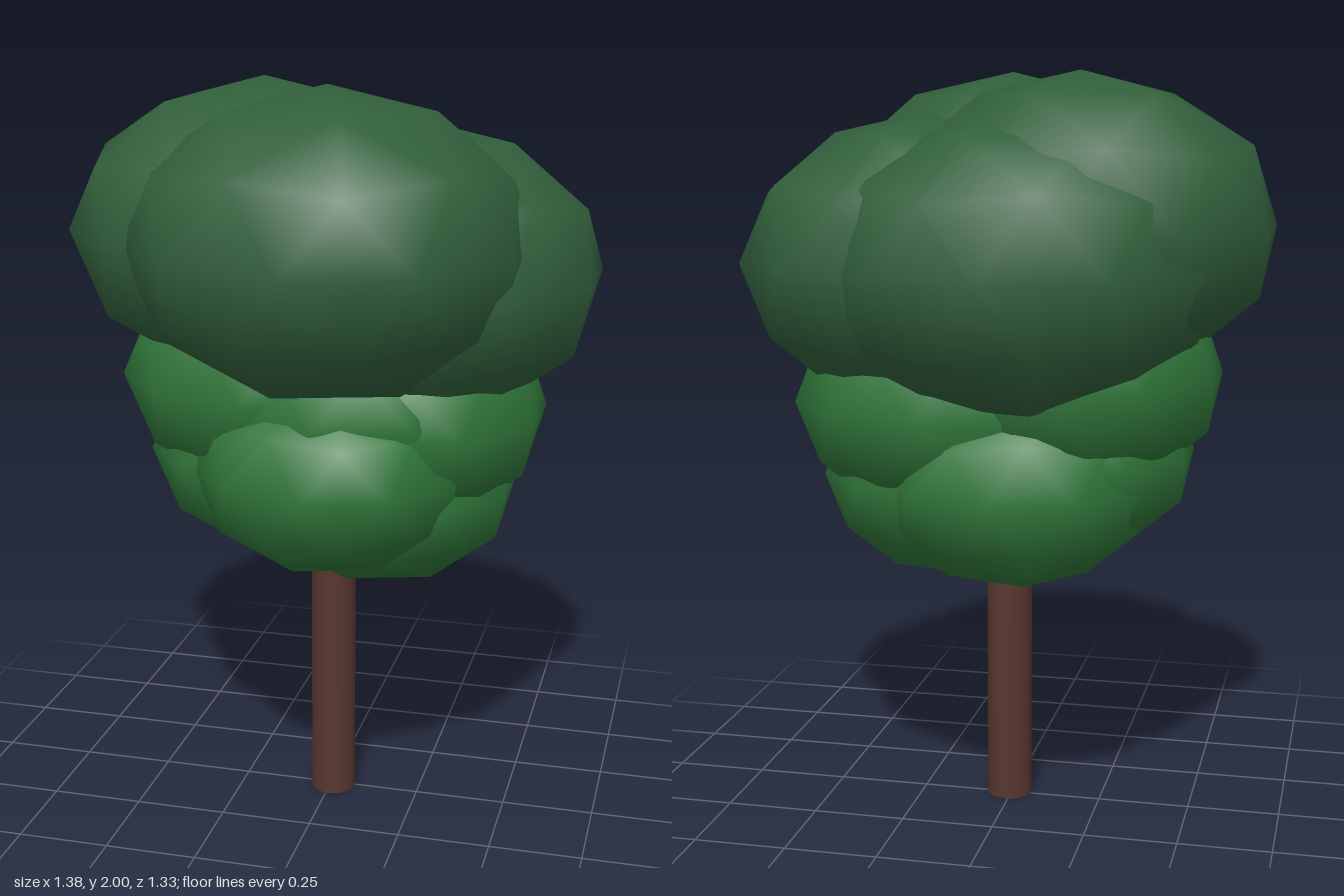
import * as THREE from 'three';

export function createModel() {
  const tree = new THREE.Group();
  tree.name = 'tree';

  const material = (name, color) => {
    const m = new THREE.MeshStandardMaterial({ color });
    m.name = name;
    return m;
  };
  const bark = material('bark brown', 0x57362f);
  const lightLeaf = material('light leaf green', 0x2f7539);
  const darkLeaf = material('dark leaf green', 0x315f3b);

  // Trunk
  const trunk = new THREE.Mesh(new THREE.CylinderGeometry(0.063, 0.063, 0.9, 12), bark);
  trunk.name = 'trunk';
  trunk.position.set(0.008, 0.45, 0.008);
  tree.add(trunk);

  // Low-poly ball with a corner pointing straight up
  const ball = new THREE.IcosahedronGeometry(1, 1);
  ball.rotateZ(-Math.atan2(2, 1 + Math.sqrt(5)));

  // Each tier is a cluster of flattened balls sharing one size
  const addTier = (name, mat, size, clumps) => {
    const tier = new THREE.Group();
    tier.name = name;
    for (const [part, x, y, z] of clumps) {
      const clump = new THREE.Mesh(ball, mat);
      clump.name = part;
      clump.position.set(x, y, z);
      clump.scale.set(0.527 * size, 0.4 * size, 0.483 * size);
      tier.add(clump);
    }
    tree.add(tier);
  };

  addTier('lowerFoliage', lightLeaf, 0.707, [
    ['frontClump', 0.03, 1.0, 0.125],
    ['rightClump', -0.134, 1.0, -0.028],
    ['leftClump', 0.134, 0.93, -0.035],
    ['backClump', -0.035, 0.93, -0.127],
  ]);
  addTier('middleFoliage', lightLeaf, 0.81, [
    ['frontClump', 0.04, 1.16, 0],
    ['rightClump', -0.154, 1.21, -0.032],
    ['leftClump', 0.154, 1.13, -0.045],
  ]);
  addTier('crownFoliage', darkLeaf, 1, [
    ['frontClump', 0.035, 1.6, 0.18],
    ['rightClump', -0.19, 1.6, -0.037],
    ['leftClump', 0.19, 1.5, -0.06],
    ['backClump', -0.05, 1.5, -0.18],
  ]);

  return tree;
}
